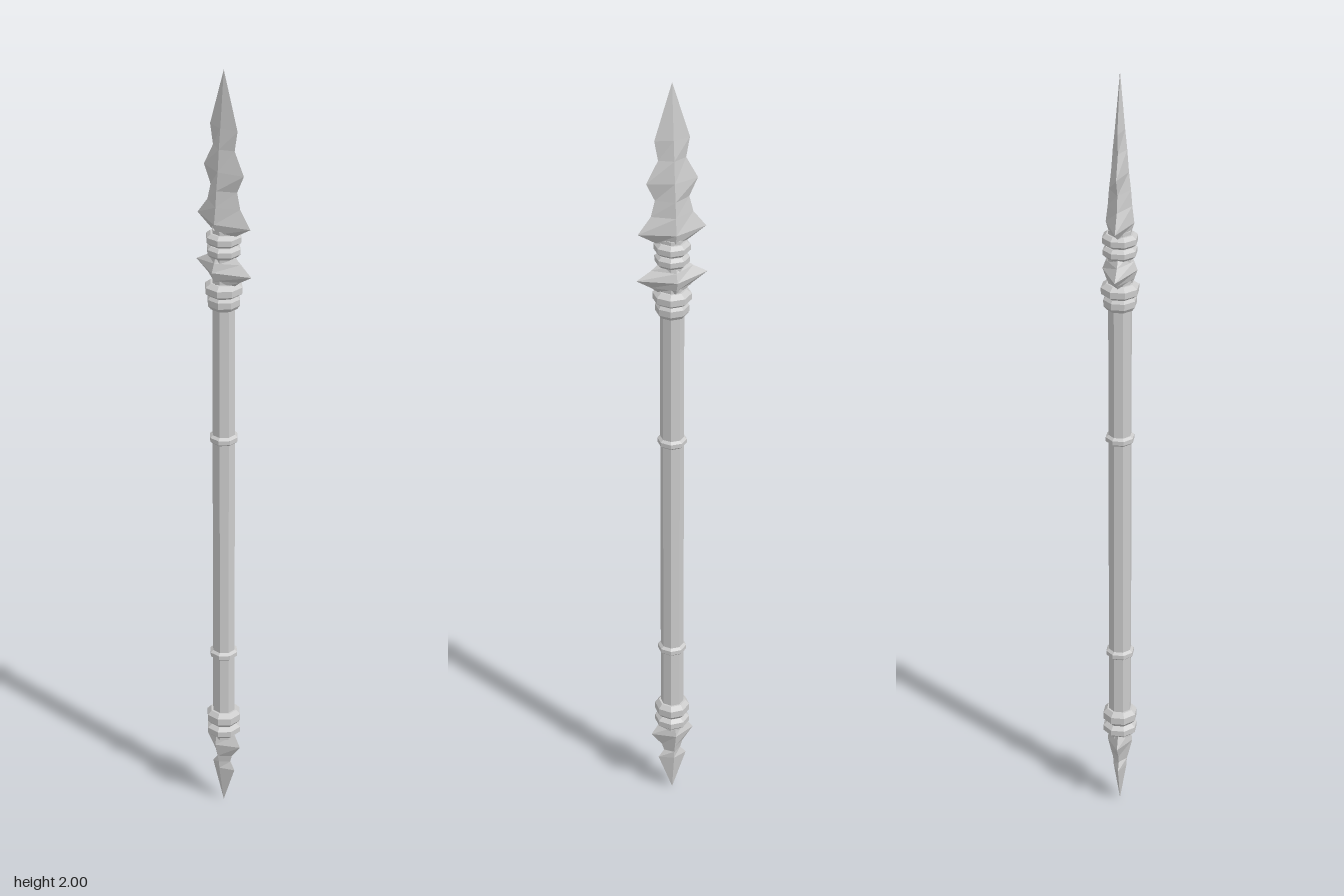
import * as THREE from 'three';

const material = new THREE.MeshStandardMaterial({ color: 0xcccccc, flatShading: true });

// Joins elliptical cross-sections [y, halfWidth, halfDepth], listed bottom to top.
function loft(name, rings, sides, turn = 0) {
  const pos = [];
  const point = ([y, rx, rz = rx], i) => {
    const a = (i / sides) * Math.PI * 2 + turn;
    return [Math.sin(a) * rx, y, Math.cos(a) * rz];
  };
  const tri = (a, b, c) => pos.push(...a, ...b, ...c);
  for (let r = 0; r < rings.length - 1; r++) {
    for (let i = 0; i < sides; i++) {
      const a = point(rings[r], i), b = point(rings[r], i + 1);
      const c = point(rings[r + 1], i + 1), d = point(rings[r + 1], i);
      if (rings[r][1] > 0) tri(a, b, c);
      if (rings[r + 1][1] > 0) tri(a, c, d);
      else if (rings[r][1] === 0) tri(a, c, d);
    }
  }
  // Close blunt ends
  const first = rings[0], last = rings[rings.length - 1];
  for (let i = 0; i < sides; i++) {
    if (first[1] > 0) tri([0, first[0], 0], point(first, i + 1), point(first, i));
    if (last[1] > 0) tri([0, last[0], 0], point(last, i), point(last, i + 1));
  }
  const geo = new THREE.BufferGeometry();
  geo.setAttribute('position', new THREE.Float32BufferAttribute(pos, 3));
  geo.computeVertexNormals();
  const mesh = new THREE.Mesh(geo, material);
  mesh.name = name;
  return mesh;
}

// A ridged band: narrow at both rims and wide in the middle
function band(name, y, height, inner, outer) {
  const h = height / 2;
  return loft(name, [
    [y - h, inner], [y - h * 0.45, outer], [y + h * 0.45, outer], [y + h, inner],
  ], 8, Math.PI / 8);
}

export function createModel() {
  const group = new THREE.Group();
  group.name = 'spear';

  // Octagonal shaft with two thin rings
  group.add(loft('shaft', [[0.2, 0.029], [1.61, 0.029]], 8, Math.PI / 8));
  for (const y of [0.45, 1.06]) group.add(band('shaftRing', y, 0.024, 0.028, 0.036));

  // Stacked collars
  const collars = [
    [0.225, 0.032, 0.044], [0.262, 0.04, 0.044],
    [1.425, 0.035, 0.041], [1.457, 0.035, 0.047],
    [1.555, 0.028, 0.042], [1.586, 0.03, 0.044],
  ];
  for (const [y, height, radius] of collars) group.add(band('collar', y, height, 0.034, radius));

  // Diamond guard with pointed sides
  group.add(loft('guard', [
    [1.465, 0.028, 0.026], [1.485, 0.052, 0.034], [1.508, 0.088, 0.042],
    [1.53, 0.052, 0.034], [1.55, 0.028, 0.026],
  ], 4));

  // Barbed blade with a diamond section
  group.add(loft('blade', [
    [1.6, 0.04, 0.026], [1.628, 0.084, 0.034], [1.67, 0.052, 0.029], [1.71, 0.042, 0.026],
    [1.755, 0.063, 0.021], [1.81, 0.034, 0.017], [1.86, 0.043, 0.012], [2, 0, 0],
  ], 4));

  // Barbed butt spike
  group.add(loft('buttSpike', [
    [0, 0, 0], [0.105, 0.037, 0.017], [0.125, 0.022, 0.018],
    [0.145, 0.028, 0.023], [0.183, 0.056, 0.032], [0.212, 0.036, 0.028],
  ], 4));

  return group;
}
